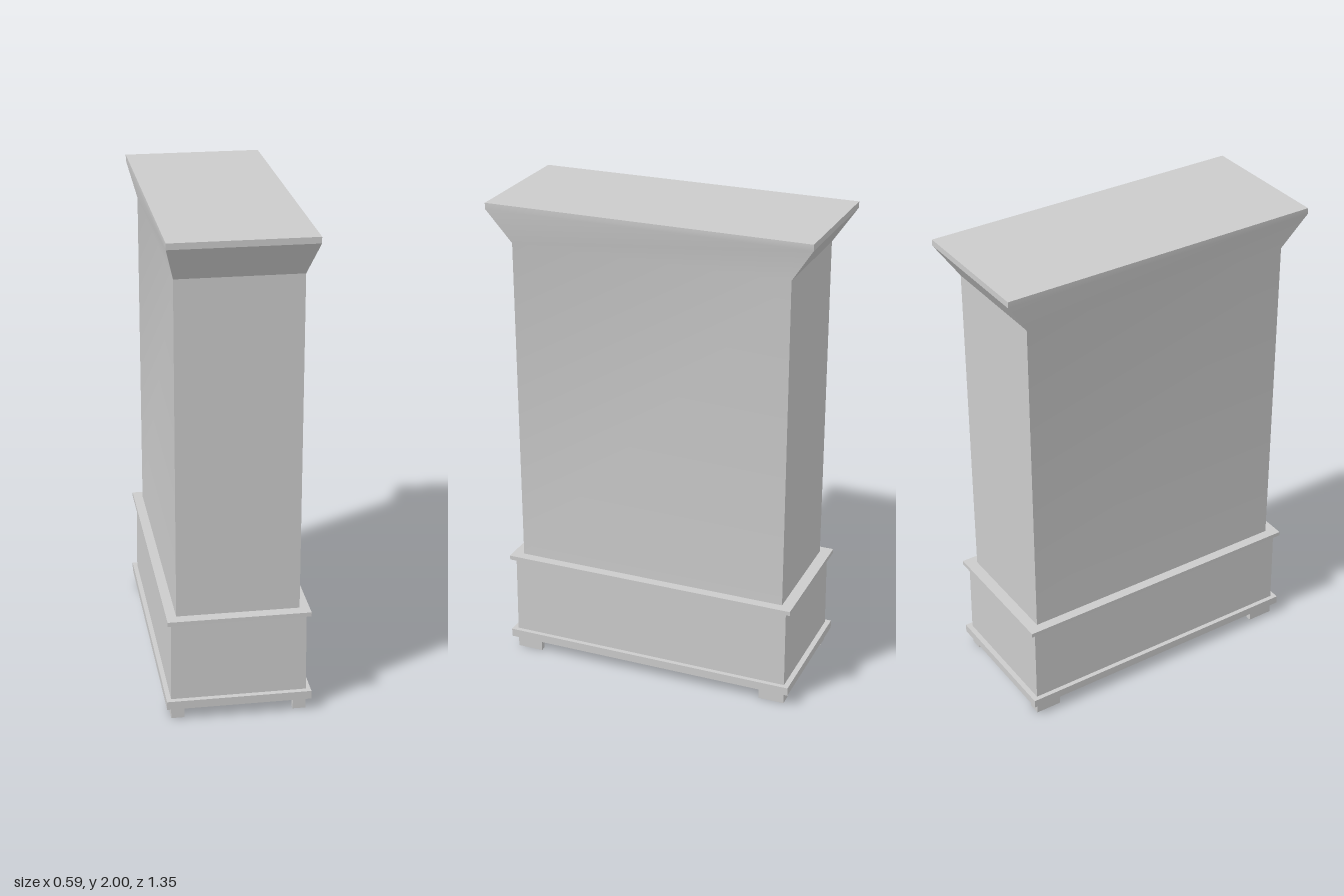
import * as THREE from 'three';
import { toCreasedNormals } from 'three/addons/utils/BufferGeometryUtils.js';

const material = new THREE.MeshStandardMaterial({ color: 0xcccccc });

// Closed stack of rectangular sections, each [y, half width x, half depth z]
function loft(sections) {
  const positions = [], index = [];
  for (const [y, x, z] of sections) {
    positions.push(x, y, z, x, y, -z, -x, y, -z, -x, y, z);
  }
  for (let s = 0; s < sections.length - 1; s++) {
    for (let i = 0; i < 4; i++) {
      const a = s * 4 + i, b = s * 4 + (i + 1) % 4;
      index.push(a, b, b + 4, a, b + 4, a + 4);
    }
  }
  const t = (sections.length - 1) * 4;
  index.push(0, 2, 1, 0, 3, 2, t, t + 1, t + 2, t, t + 2, t + 3);
  const geometry = new THREE.BufferGeometry();
  geometry.setAttribute('position', new THREE.Float32BufferAttribute(positions, 3));
  geometry.setIndex(index);
  return toCreasedNormals(geometry, Math.PI / 6);
}

export function createModel() {
  const model = new THREE.Group();
  model.name = 'cabinet';

  function add(name, geometry) {
    const mesh = new THREE.Mesh(geometry, material);
    mesh.name = name;
    model.add(mesh);
    return mesh;
  }

  // Tall body flaring into the cornice
  add('bodyAndCornice', loft([
    [0.44, 0.248, 0.581], [1.835, 0.248, 0.581],
    [1.975, 0.285, 0.675], [2.0, 0.285, 0.675],
  ]));

  // Plinth between two thin mouldings
  add('upperMoulding', loft([[0.427, 0.288, 0.628], [0.445, 0.288, 0.628]]));
  add('plinth', loft([[0.085, 0.275, 0.608], [0.43, 0.272, 0.606]]));
  add('baseMoulding', loft([[0.053, 0.294, 0.63], [0.088, 0.294, 0.63]]));

  // L-shaped bracket feet, one in each corner
  const outerX = 0.275, outerZ = 0.608, innerX = 0.222, innerZ = 0.498, thick = 0.025;
  for (const sx of [-1, 1]) {
    for (const sz of [-1, 1]) {
      const outline = [
        [outerX, outerZ], [innerX, outerZ], [innerX, outerZ - thick],
        [outerX - thick, outerZ - thick], [outerX - thick, innerZ], [outerX, innerZ],
      ].map(([x, z]) => new THREE.Vector2(sx * x, -sz * z));
      const foot = new THREE.ExtrudeGeometry(new THREE.Shape(outline), { depth: 0.055, bevelEnabled: false });
      foot.rotateX(-Math.PI / 2);
      add((sz > 0 ? 'front' : 'back') + (sx > 0 ? 'Left' : 'Right') + 'Foot', foot);
    }
  }
  return model;
}
